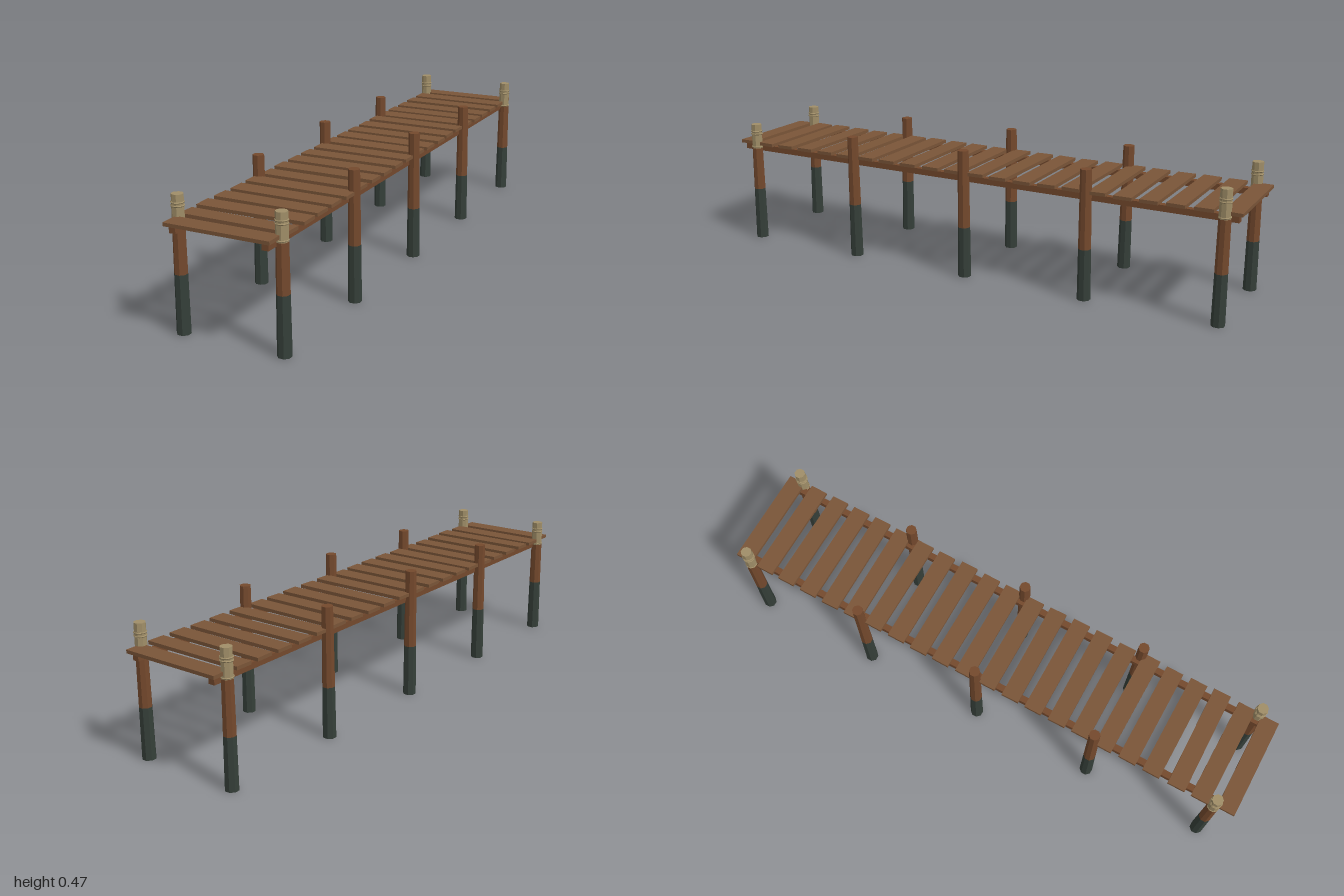
import * as THREE from 'three';

const mat = (name, color) => {
  const m = new THREE.MeshStandardMaterial({ color });
  m.name = name;
  m.flatShading = true;
  return m;
};

export function createModel() {
  const plankWood = mat('plank wood', 0x7a5538);
  const postWood = mat('post wood', 0x74492d);
  const wetWood = mat('wet dark wood', 0x353f39);
  const rope = mat('pale rope', 0xa08e68);

  const group = new THREE.Group();
  group.name = 'pier';
  const add = (parent, name, geometry, material, x = 0, y = 0, z = 0) => {
    const mesh = new THREE.Mesh(geometry, material);
    mesh.name = name;
    mesh.position.set(x, y, z);
    parent.add(mesh);
    return mesh;
  };

  // Small repeatable variation in the range -1..1
  let seed = 7;
  const vary = () => {
    seed = (seed * 16807) % 2147483647;
    return (seed / 2147483647) * 2 - 1;
  };

  // Deck planks, each slightly skewed
  const count = 22;
  for (let i = 0; i < count; i++) {
    const z = -0.9655 + (i * 1.931) / (count - 1);
    const length = 0.374 + 0.008 * vary();
    const plank = add(group, 'plank', new THREE.BoxGeometry(length, 0.012, 0.064),
      plankWood, 0.001 * vary(), 0.381 + 0.001 * vary(), z);
    plank.rotation.set(0.02 * vary(), 0.013 * vary(), 0);
  }

  // Stringers under the deck
  for (const side of [-1, 1]) {
    add(group, 'stringer', new THREE.BoxGeometry(0.023, 0.022, 1.968), postWood, side * 0.16, 0.361, 0);
  }

  // Tapered posts: wet foot, dry upper part, rope-wrapped head on the end pairs
  const radius = (y) => 0.0235 - 0.0085 * y;
  const section = (post, name, y0, y1, material, grow = 0) =>
    add(post, name, new THREE.CylinderGeometry(radius(y1) + grow, radius(y0) + grow, y1 - y0, 8),
      material, 0, (y0 + y1) / 2, 0);

  const rows = [
    { z: -0.94, top: 0.461, wet: 0.18, end: true },
    { z: -0.469, top: 0.46, wet: 0.182, end: false },
    { z: -0.002, top: 0.465, wet: 0.185, end: false },
    { z: 0.467, top: 0.458, wet: 0.2, end: false },
    { z: 0.924, top: 0.455, wet: 0.199, end: true },
  ];
  for (const { z, top, wet, end } of rows) {
    for (const side of [-1, 1]) {
      const post = new THREE.Group();
      post.name = 'post';
      post.position.set(side * 0.1805, 0, z);
      post.rotation.set(0.008 * vary(), Math.PI / 8, 0);
      group.add(post);
      const dryTop = end ? 0.362 : top;
      section(post, 'postFoot', 0, wet, wetWood);
      section(post, 'postShaft', wet, dryTop, postWood);
      if (end) {
        section(post, 'postHead', dryTop, top, rope);
        for (const y of [0.367, 0.418, 0.429]) {
          const ring = add(post, 'ropeRing', new THREE.TorusGeometry(0.0195, 0.003, 5, 10), rope, 0, y, 0);
          ring.rotation.x = Math.PI / 2 + 0.06 * vary();
        }
      }
    }
  }
  return group;
}
